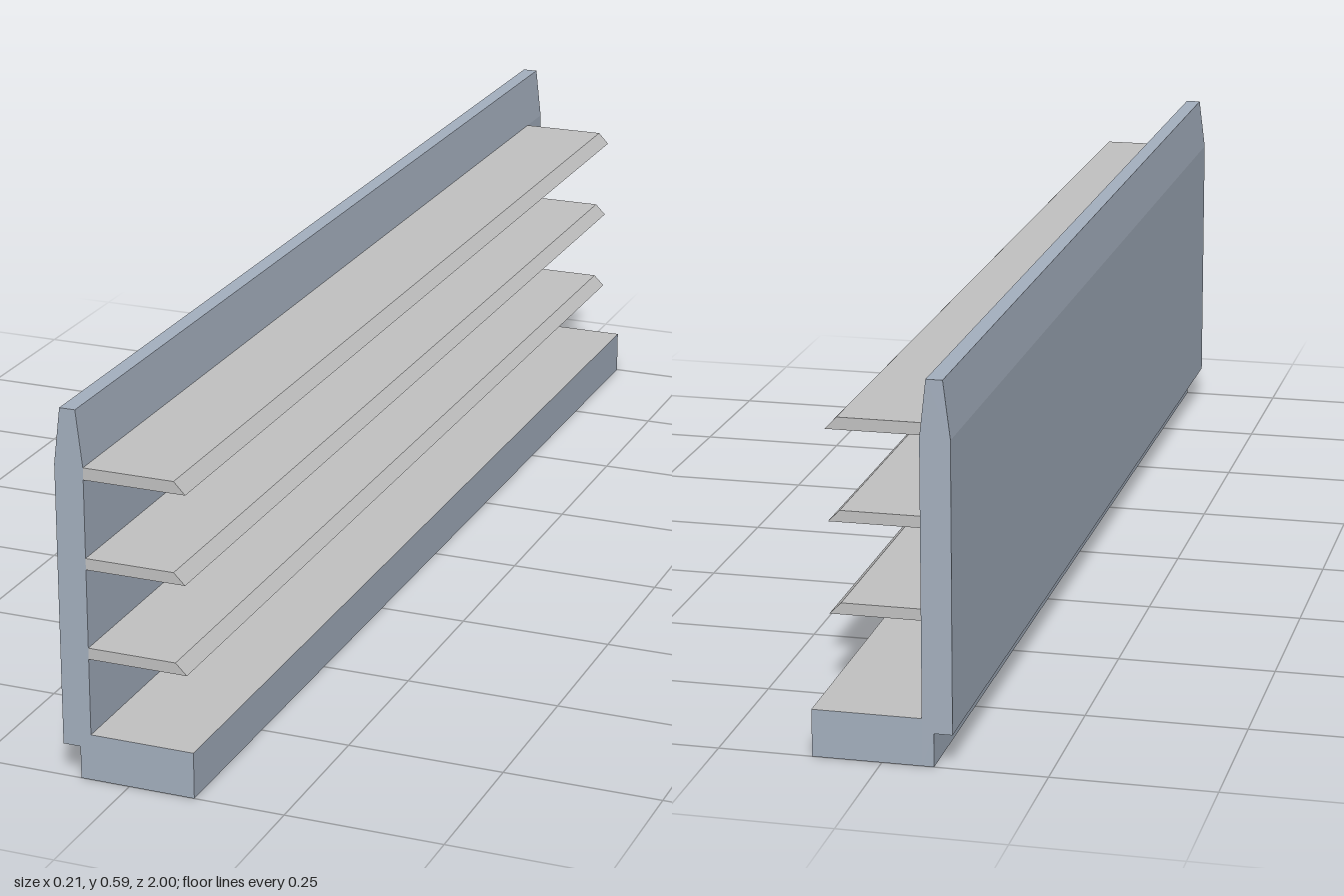
import * as THREE from 'three';

const blueGrey = new THREE.MeshStandardMaterial({ color: 0xa3aebd });
blueGrey.name = 'blueGrey';
const paleGrey = new THREE.MeshStandardMaterial({ color: 0xc0c0c0 });
paleGrey.name = 'paleGrey';

// Extrudes an x-y outline along z between two ends
function profile(name, points, zBack, zFront, material) {
  const shape = new THREE.Shape(points.map(([x, y]) => new THREE.Vector2(x, y)));
  const geometry = new THREE.ExtrudeGeometry(shape, { depth: zFront - zBack, bevelEnabled: false });
  geometry.translate(0, 0, zBack);
  const mesh = new THREE.Mesh(geometry, material);
  mesh.name = name;
  return mesh;
}

export function createModel() {
  const model = new THREE.Group();
  model.name = 'shelvedWall';
  const wallFace = -0.061;

  // Upright wall with tapered top and a stepped foot
  model.add(profile('wall', [
    [-0.079, 0], [wallFace, 0], [wallFace, 0.5], [-0.071, 0.588],
    [-0.096, 0.588], [-0.107, 0.5], [-0.107, 0.052], [-0.079, 0.052],
  ], -1, 1, blueGrey));

  // Base ledge with a pale top face
  const width = 0.106 - wallFace, height = 0.074;
  const base = new THREE.Mesh(
    new THREE.BoxGeometry(width, height, 2),
    [blueGrey, blueGrey, paleGrey, blueGrey, blueGrey, blueGrey],
  );
  base.position.set(wallFace + width / 2, height / 2, 0);
  base.name = 'base';
  model.add(base);

  // Shelves with bevelled front edges, stopping short of the back end
  const shelves = [[0.197, 0.215, 0.098], [0.34, 0.358, 0.098], [0.481, 0.5, 0.101]];
  shelves.forEach(([bottom, top, tip], i) => {
    model.add(profile(`shelf${i + 1}`, [
      [wallFace, bottom], [tip, bottom], [tip - 0.018, top], [wallFace, top],
    ], -0.925, 1, paleGrey));
  });

  return model;
}
